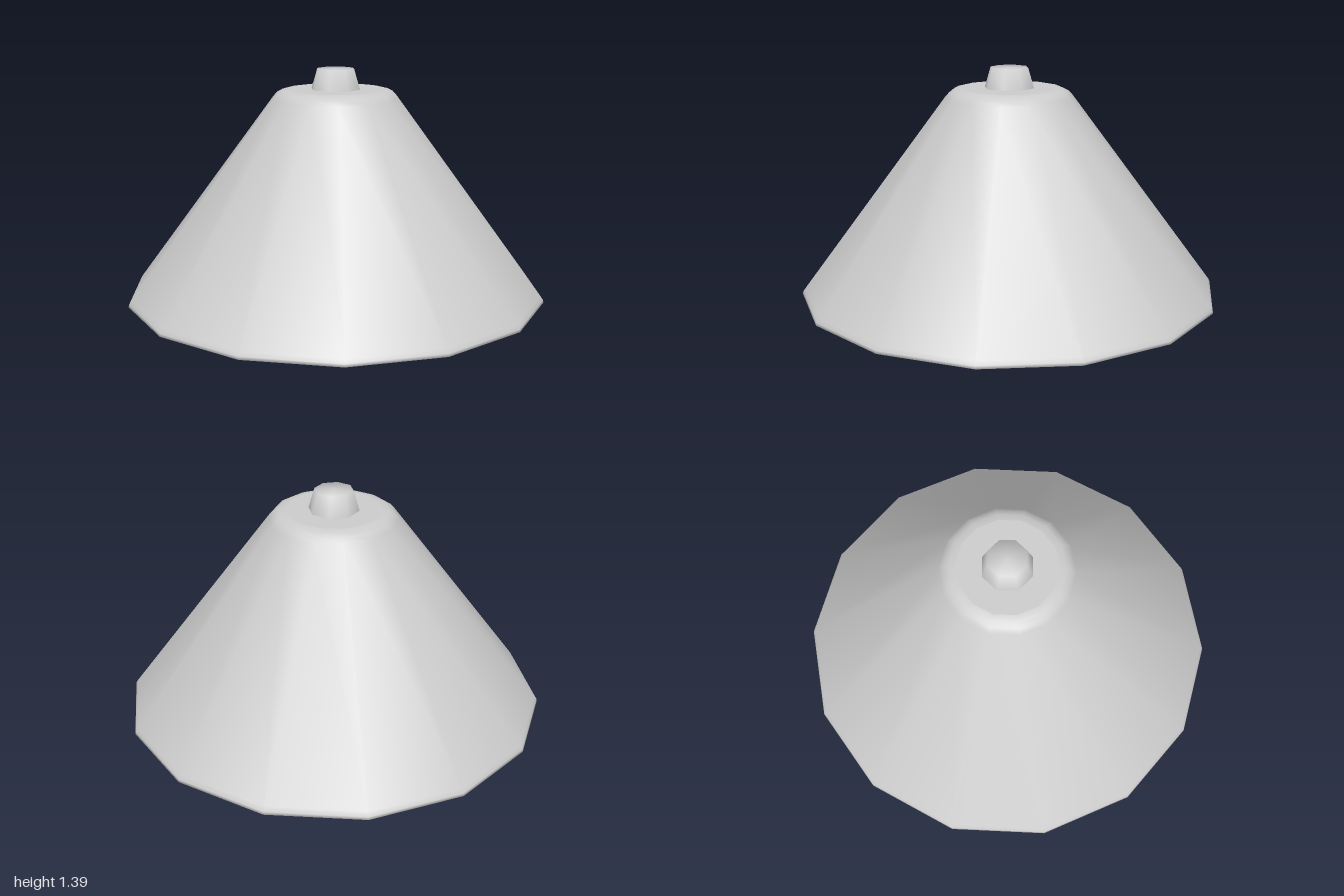
import * as THREE from 'three';

export function createModel() {
  const group = new THREE.Group();
  group.name = 'pendantLamp';
  const grey = new THREE.MeshStandardMaterial({ color: 0xcccccc });
  grey.name = 'lightGrey';

  const add = (name, geometry) => {
    const mesh = new THREE.Mesh(geometry, grey);
    mesh.name = name;
    group.add(mesh);
    return mesh;
  };
  // Profiles run from bottom to top as [radius, height]
  const lathe = (points, sides) =>
    new THREE.LatheGeometry(points.map(([r, y]) => new THREE.Vector2(r, y)), sides);

  // Fourteen-sided conical shade with softened rims
  add('shade', lathe([
    [0.985, 0.3], [1, 0.307], [0.997, 0.32], [0.985, 0.337],
    [0.3, 1.255], [0.28, 1.277], [0.255, 1.29], [0.225, 1.295],
  ], 14));

  // Flat closing faces of the shade
  add('shadeUnderside', lathe([[0, 0.3], [0.985, 0.3]], 14));
  add('shadeTop', lathe([[0.225, 1.295], [0, 1.295]], 14));

  // Tapered cap on top, softly shaded over its edge
  add('topCap', lathe([[0.12, 1.29], [0.09, 1.39], [0, 1.39]], 8));

  // Faceted-outline bulb with one vertex pointing straight down
  const radius = 0.272;
  const golden = (1 + Math.sqrt(5)) / 2;
  const bulb = new THREE.IcosahedronGeometry(radius, 1);
  bulb.rotateZ(-Math.atan(1 / golden));
  bulb.translate(0, radius, 0);
  add('bulb', bulb);

  return group;
}
